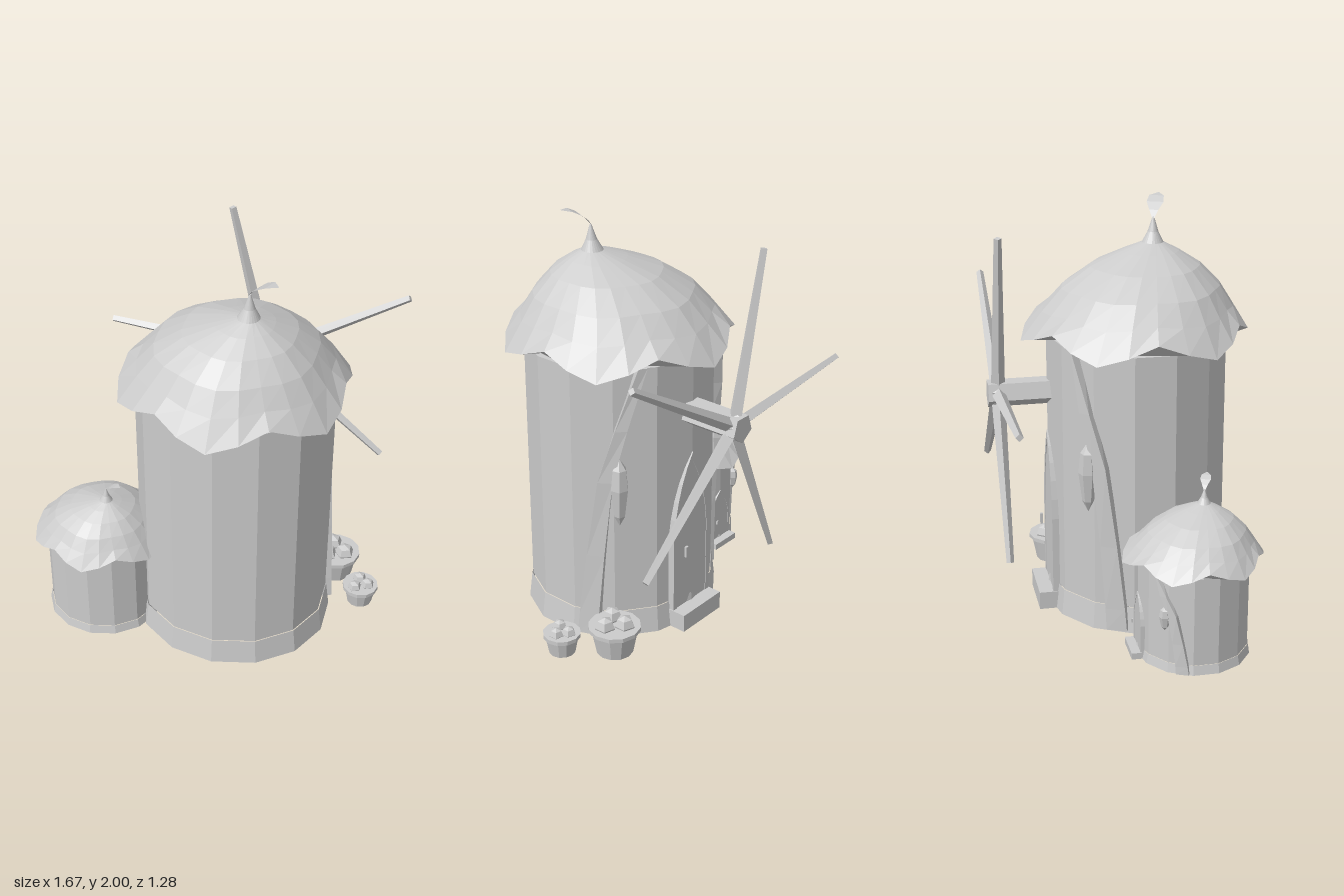
import * as THREE from 'three';

const RX = 0.47, RZ = 0.437, WALL = 1.385, PLINTH = 0.13, TAU = Math.PI * 2;

export function createModel() {
  const clay = new THREE.MeshStandardMaterial({ color: 0xcccccc, side: THREE.DoubleSide });
  clay.name = 'light grey';
  const V = (x, y, z) => new THREE.Vector3(x, y, z);

  // faceted mesh: one normal per face
  function add(parent, name, geo, x = 0, y = 0, z = 0) {
    const flat = geo.index ? geo.toNonIndexed() : geo;
    flat.computeVertexNormals();
    const mesh = new THREE.Mesh(flat, clay);
    mesh.name = name;
    mesh.position.set(x, y, z);
    parent.add(mesh);
    return mesh;
  }

  function group(parent, name) {
    const g = new THREE.Group();
    g.name = name;
    if (parent) parent.add(g);
    return g;
  }

  // skin over closed rings running upwards, with flat end caps
  function loft(rings) {
    const n = rings[0].length, pos = [], idx = [];
    rings.forEach(r => r.forEach(p => pos.push(p.x, p.y, p.z)));
    for (let i = 0; i < rings.length - 1; i++)
      for (let j = 0; j < n; j++) {
        const a = i * n + j, b = i * n + (j + 1) % n;
        idx.push(a, b, b + n, a, b + n, a + n);
      }
    const t = (rings.length - 1) * n;
    for (let j = 1; j < n - 1; j++) idx.push(0, j + 1, j, t, t + j, t + j + 1);
    const g = new THREE.BufferGeometry();
    g.setAttribute('position', new THREE.Float32BufferAttribute(pos, 3));
    g.setIndex(idx);
    return g;
  }

  // scalloped thatch, leaning towards its off-centre tip (y = 0 at the eave)
  function roof(parent) {
    const g = group(parent, 'roof'), N = 24;
    const ring = f => Array.from({ length: N }, (_, j) => {
      const k = j % 4, t = k === 2 ? 1 : k % 2 ? 0.45 : 0;
      return f(Math.sin(j / N * TAU), Math.cos(j / N * TAU), t);
    });
    const rings = [ring((s, c) => V(s * 0.44, 0.025, c * 0.41))];
    // height, radius, shift x, shift z, scallop depth, scallop lift
    [[0, 0.558, 0, 0, 0.045, 0.09], [0.135, 0.465, 0.005, 0.012, 0.025, 0.02],
      [0.24, 0.385, 0.012, 0.027, 0.018, 0.005], [0.335, 0.267, 0.032, 0.052, 0.012, 0],
      [0.395, 0.14, 0.06, 0.082, 0.006, 0], [0.43, 0.052, 0.08, 0.098, 0, 0],
      [0.48, 0.026, 0.083, 0.1, 0, 0], [0.55, 0.004, 0.085, 0.102, 0, 0]].forEach(([y, r, x, z, w, lift]) =>
      rings.push(ring((s, c, t) => V(x + s * (r - w * t), y + lift * t, z + c * (r - w * t)))));
    add(g, 'thatch', loft(rings));

    // curled leaf on the tip: x, y, z, half width
    const pos = [], idx = [];
    [[0.08, 0.545, 0.1, 0.006], [0.105, 0.578, 0.108, 0.022], [0.14, 0.61, 0.122, 0.042],
      [0.18, 0.632, 0.138, 0.036], [0.222, 0.638, 0.158, 0.002]].forEach(([x, y, z, w], i) => {
      pos.push(x - 0.4 * w, y, z + 0.9 * w, x + 0.4 * w, y, z - 0.9 * w);
      if (i) idx.push(2 * i - 2, 2 * i - 1, 2 * i, 2 * i - 1, 2 * i + 1, 2 * i);
    });
    idx.reverse();
    idx.reverse();
    const leaf = new THREE.BufferGeometry();
    leaf.setAttribute('position', new THREE.Float32BufferAttribute(pos, 3));
    leaf.setIndex(idx.map((_, i) => idx[i - i % 3 + (3 - i % 3) % 3]));
    add(g, 'tipLeaf', leaf);
    return g;
  }

  // pointed arch outline
  function arch(w, spring, top, path = new THREE.Shape()) {
    path.moveTo(-w, 0.05);
    path.lineTo(w, 0.05);
    path.lineTo(w, spring);
    path.quadraticCurveTo(w * 0.85, spring + (top - spring) * 0.6, 0, top);
    path.quadraticCurveTo(-w * 0.85, spring + (top - spring) * 0.6, -w, spring);
    return path;
  }

  // tower wall on a hollow plinth, back door, and a curved timber and pod on each side
  function tower(parent) {
    const g = group(parent, 'tower'), wallH = WALL - PLINTH;
    add(g, 'wall', new THREE.CylinderGeometry(1, 1, wallH, 14).scale(RX, 1, RZ), 0, PLINTH + wallH / 2);
    add(g, 'plinth', new THREE.CylinderGeometry(1.01, 1.045, PLINTH, 14, 1, true).scale(RX, 1, RZ), 0, PLINTH / 2);

    const opts = d => ({ depth: d, bevelEnabled: false, curveSegments: 5 });
    const frame = arch(0.135, 0.48, 0.9);
    frame.holes.push(arch(0.11, 0.48, 0.85, new THREE.Path()));
    const door = group(g, 'door');
    door.rotation.y = Math.PI;
    add(door, 'doorFrame', new THREE.ExtrudeGeometry(frame, opts(0.04)), 0, 0, 0.402);
    add(door, 'doorPanel', new THREE.ExtrudeGeometry(arch(0.115, 0.48, 0.86), opts(0.03)), 0, 0, 0.409);
    add(door, 'doorHandle', new THREE.BoxGeometry(0.018, 0.055, 0.012), -0.07, 0.4, 0.466);
    add(door, 'doorStep', new THREE.BoxGeometry(0.28, 0.09, 0.1), 0, 0.045, 0.461);

    for (const side of [1, -1]) {
      // height, angle from the back, half width, projection
      const rings = [[0.02, 67, 0.05, 0.04], [0.13, 66, 0.048, 0.036], [0.45, 62, 0.042, 0.03],
        [0.84, 56, 0.035, 0.03], [1.1, 47, 0.028, 0.03], [1.4, 35, 0.021, 0.03]].map(([y, deg, w, d]) => {
        const a = Math.PI - side * THREE.MathUtils.degToRad(deg), s = Math.sin(a), c = Math.cos(a);
        return [[-w, d], [w, d], [w, -0.04], [-w, -0.04]].map(([t, o]) =>
          V(s * (RX + o) + c * t, y, c * (RZ + o) - s * t));
      });
      add(g, 'sideTimber', loft(rings));

      const a = Math.PI - side * 0.84;
      const profile = [[0, -0.175], [0.028, -0.12], [0.045, 0.02], [0.035, 0.12], [0, 0.175]]
        .map(p => new THREE.Vector2(...p));
      add(g, 'hangingPod', new THREE.LatheGeometry(profile, 6),
        Math.sin(a) * (RX + 0.015), 0.785, Math.cos(a) * (RZ + 0.015)).rotation.y = a;
    }
    return g;
  }

  // tapered basket heaped with round produce
  function basket(parent, x, z, r, h, fruitR, fruits) {
    const g = group(parent, 'basket');
    g.position.set(x, 0, z);
    add(g, 'basketBody', new THREE.CylinderGeometry(r * 0.9, r * 0.7, h, 12), 0, h / 2);
    add(g, 'basketRim', new THREE.CylinderGeometry(r, r, 0.02, 12), 0, h);
    fruits.forEach(([fx, fz], i) => {
      const f = add(g, 'produce', new THREE.SphereGeometry(fruitR, 5, 4), fx, h + fruitR * 0.35, fz);
      f.rotation.y = i * 1.3;
    });
  }

  const model = group(null, 'windmill');

  // main tower
  const main = group(model, 'mainTower');
  main.position.set(0.115, 0, 0.083);
  tower(main);
  roof(main).position.y = 1.36;

  // small side tower
  const small = group(model, 'sideTower');
  small.position.set(-0.525, 0, 0.225);
  tower(small).scale.set(0.59, 0.346, 0.6);
  const cap = roof(small);
  cap.position.y = 0.465;
  cap.scale.set(0.604, 0.565, 0.604);

  // axle and five tapered spokes at the back
  const rotor = group(model, 'rotor');
  rotor.position.set(0.115, 1.105, -0.59);
  add(rotor, 'axle', new THREE.CylinderGeometry(0.069, 0.069, 0.3, 5).rotateX(Math.PI / 2), 0, 0, 0.1);
  add(rotor, 'hub', new THREE.CylinderGeometry(0.05, 0.069, 0.05, 5).rotateX(-Math.PI / 2), 0, 0, -0.025);
  for (let i = 0; i < 5; i++) {
    const spoke = new THREE.CylinderGeometry(0.018, 0.034, 0.815, 4).translate(0, 0.4075, 0);
    add(rotor, 'spoke', spoke).rotation.z = THREE.MathUtils.degToRad(13 + i * 72);
  }

  // baskets by the wall
  basket(model, 0.578, -0.27, 0.126, 0.13, 0.05,
    [[-0.022, -0.045], [0.05, 0.015], [-0.035, 0.045]]);
  basket(model, 0.743, -0.085, 0.09, 0.095, 0.036,
    [[-0.01, -0.035], [-0.024, 0.035], [0.037, 0.0]]);

  return model;
}
